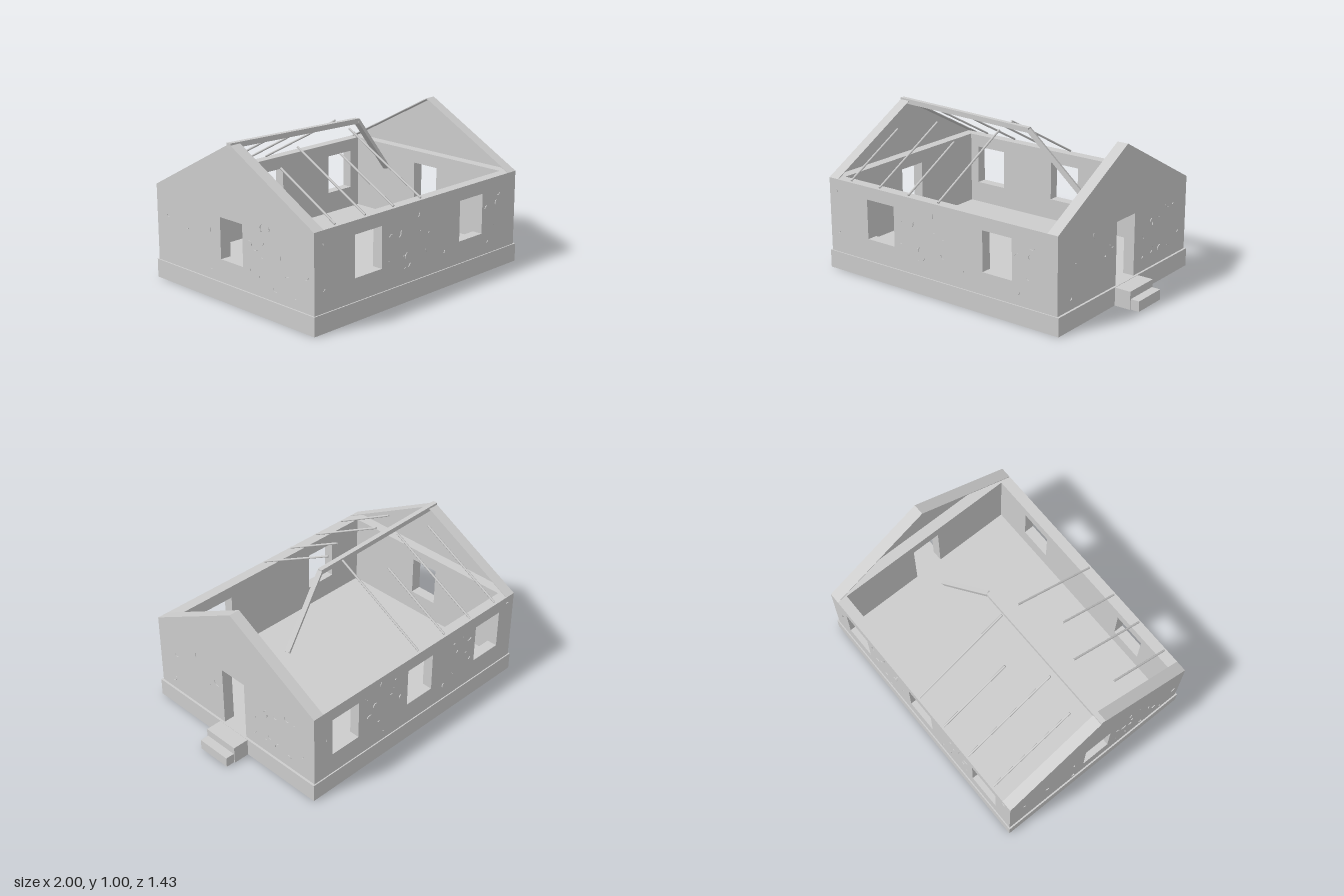
import * as THREE from 'three';
import { mergeGeometries } from 'three/addons/utils/BufferGeometryUtils.js';

const stone = new THREE.MeshStandardMaterial({ color: 0xcccccc, side: THREE.DoubleSide });
stone.name = 'pale grey';

const BASE = 0.12, EAVE = 0.615, RIDGE = 0.995, HALF = 0.705, THICK = 0.075;
const SILL = 0.265, HEAD = 0.53;

function add(parent, name, geometry) {
  const mesh = new THREE.Mesh(geometry, stone);
  mesh.name = name;
  parent.add(mesh);
  return mesh;
}

// Box given by its lower and upper limits
function box(parent, name, x0, x1, y0, y1, z0, z1) {
  const mesh = add(parent, name, new THREE.BoxGeometry(x1 - x0, y1 - y0, z1 - z0));
  mesh.position.set((x0 + x1) / 2, (y0 + y1) / 2, (z0 + z1) / 2);
  return mesh;
}

const polygon = (points) => new THREE.Shape(points.map(([x, y]) => new THREE.Vector2(x, y)));
const extrude = (shape, depth) => new THREE.ExtrudeGeometry(shape, { depth, bevelEnabled: false });

// Wall panel in the xy plane with rectangular window openings
function panel(x0, x1, windows, depth, door) {
  const points = [[x0, BASE]];
  if (door) points.push([door[0], BASE], [door[0], HEAD], [door[1], HEAD], [door[1], BASE]);
  points.push([x1, BASE], [x1, EAVE], [x0, EAVE]);
  const shape = polygon(points);
  for (const [a, b] of windows) {
    shape.holes.push(polygon([[a, SILL], [a, HEAD], [b, HEAD], [b, SILL]]));
  }
  return extrude(shape, depth);
}

// Square beam or round pole between two points
function bar(parent, name, a, b, radius, sides) {
  const from = new THREE.Vector3(...a), to = new THREE.Vector3(...b);
  const dir = to.clone().sub(from);
  const geometry = new THREE.CylinderGeometry(radius, radius, dir.length(), sides);
  if (sides === 4) geometry.rotateY(Math.PI / 4);
  const mesh = add(parent, name, sides === 4 ? flat(geometry) : geometry);
  mesh.position.copy(from).add(to).multiplyScalar(0.5);
  mesh.quaternion.setFromUnitVectors(new THREE.Vector3(0, 1, 0), dir.normalize());
  return mesh;
}

function flat(geometry) {
  const g = geometry.toNonIndexed();
  g.computeVertexNormals();
  return g;
}

let seed = 7;
function random() {
  seed = (seed * 16807) % 2147483647;
  return seed / 2147483647;
}

// Shallow curved plaster flakes scattered over a wall, clear of its openings
function flakes(count, x0, x1, openings) {
  const arcs = [];
  while (arcs.length < count) {
    const x = x0 + 0.05 + random() * (x1 - x0 - 0.1);
    const y = BASE + 0.05 + random() * (EAVE - BASE - 0.1);
    if (openings.some(([a, b]) => x > a - 0.04 && x < b + 0.04)) continue;
    const r = 0.012 + random() * 0.018;
    const arc = new THREE.CylinderGeometry(r, r, 0.006, 6, 1, true, random() * 6.28, 0.8 + random());
    arcs.push(arc.rotateX(Math.PI / 2).translate(x, y, 0.002));
  }
  return mergeGeometries(arcs);
}

export function createModel() {
  const house = new THREE.Group();
  house.name = 'ruinedHouse';

  // Hollow foundation, open below, with the floor as its lid
  const foundation = new THREE.Group();
  foundation.name = 'foundation';
  house.add(foundation);
  const x0 = -1, x1 = 0.83, zb = 0.713, t = 0.006;
  box(foundation, 'floor', x0, x1, BASE - 0.006, BASE, -zb, zb);
  for (const s of [-1, 1]) {
    const z = s * (zb - t / 2);
    box(foundation, 'longFooting', x0, x1, 0, BASE - 0.006, z - t / 2, z + t / 2);
  }
  box(foundation, 'leftEndFooting', x0, x0 + t, 0, BASE - 0.006, -zb + t, zb - t);
  box(foundation, 'rightEndFooting', x1 - t, x1, 0, BASE - 0.006, -zb + t, zb - t);

  // Door steps
  box(house, 'upperStep', 0.83, 0.94, 0, 0.118, -0.127, 0.127);
  box(house, 'lowerStep', 0.94, 1, 0, 0.068, -0.12, 0.12);

  // Long walls
  const wallL = -0.99, wallR = 0.815;
  const frontWindows = [[-0.665, -0.44], [0.265, 0.485]];
  const backWindows = [[-0.85, -0.62], [-0.21, 0.015], [0.445, 0.665]];
  const inner = [wallL + THICK, wallR - THICK];
  add(house, 'frontWall', panel(...inner, frontWindows, 0.07)).position.z = HALF - 0.07;
  add(house, 'backWall', panel(...inner, backWindows, 0.07)).position.z = -HALF;
  add(house, 'frontFlakes', flakes(20, wallL, wallR, frontWindows)).position.z = HALF;
  const backFlakes = add(house, 'backFlakes',
    flakes(20, -wallR, -wallL, backWindows.map(([a, b]) => [-b, -a])));
  backFlakes.position.z = -HALF;
  backFlakes.rotation.y = Math.PI;

  // End walls with hollow gables; each is built facing +z and turned outwards
  const opening = [[-0.1, 0.1]];
  const triangle = polygon([[-HALF, EAVE], [HALF, EAVE], [0, RIDGE]]);
  const coping = polygon([[-HALF, EAVE], [-HALF + 0.01, EAVE], [0, RIDGE - 0.006],
    [HALF - 0.01, EAVE], [HALF, EAVE], [0, RIDGE]]);
  for (const side of [-1, 1]) {
    const end = new THREE.Group();
    end.name = side > 0 ? 'rightEndWall' : 'leftEndWall';
    end.position.x = side > 0 ? wallR : wallL;
    end.rotation.y = side * Math.PI / 2;
    house.add(end);
    const wall = side > 0
      ? panel(-HALF, HALF, [], THICK, opening[0])
      : panel(-HALF, HALF, opening, THICK);
    add(end, 'endWall', wall).position.z = -THICK;
    add(end, 'gable', extrude(triangle, 0.004)).position.z = -0.004;
    add(end, 'gableCoping', extrude(coping, THICK - 0.004)).position.z = -THICK;
    add(end, 'endFlakes', flakes(18, -HALF, HALF, opening));
  }

  // Sagging ridge beam and its snapped end
  bar(house, 'ridgeBeam', [-0.99, 0.984, -0.003], [0.08, 0.953, -0.003], 0.023, 4);
  bar(house, 'brokenBeam', [0.075, 0.955, -0.003], [0.44, 0.565, -0.085], 0.022, 4);

  // Broken rafters: x, then how close each side still reaches to the ridge
  const rafters = [[-0.81, 0.245, 0.105], [-0.567, 0.13, 0.055],
    [-0.327, 0.25, 0.205], [-0.087, 0.09, 0.035]];
  const roofY = (z) => EAVE + (RIDGE - EAVE) * (1 - z / HALF);
  for (const [x, front, back] of rafters) {
    bar(house, 'frontRafter', [x, roofY(0.69), 0.69], [x, roofY(front), front], 0.007, 8);
    bar(house, 'backRafter', [x, roofY(0.69), -0.69], [x, roofY(back), -back], 0.007, 8);
  }
  return house;
}
